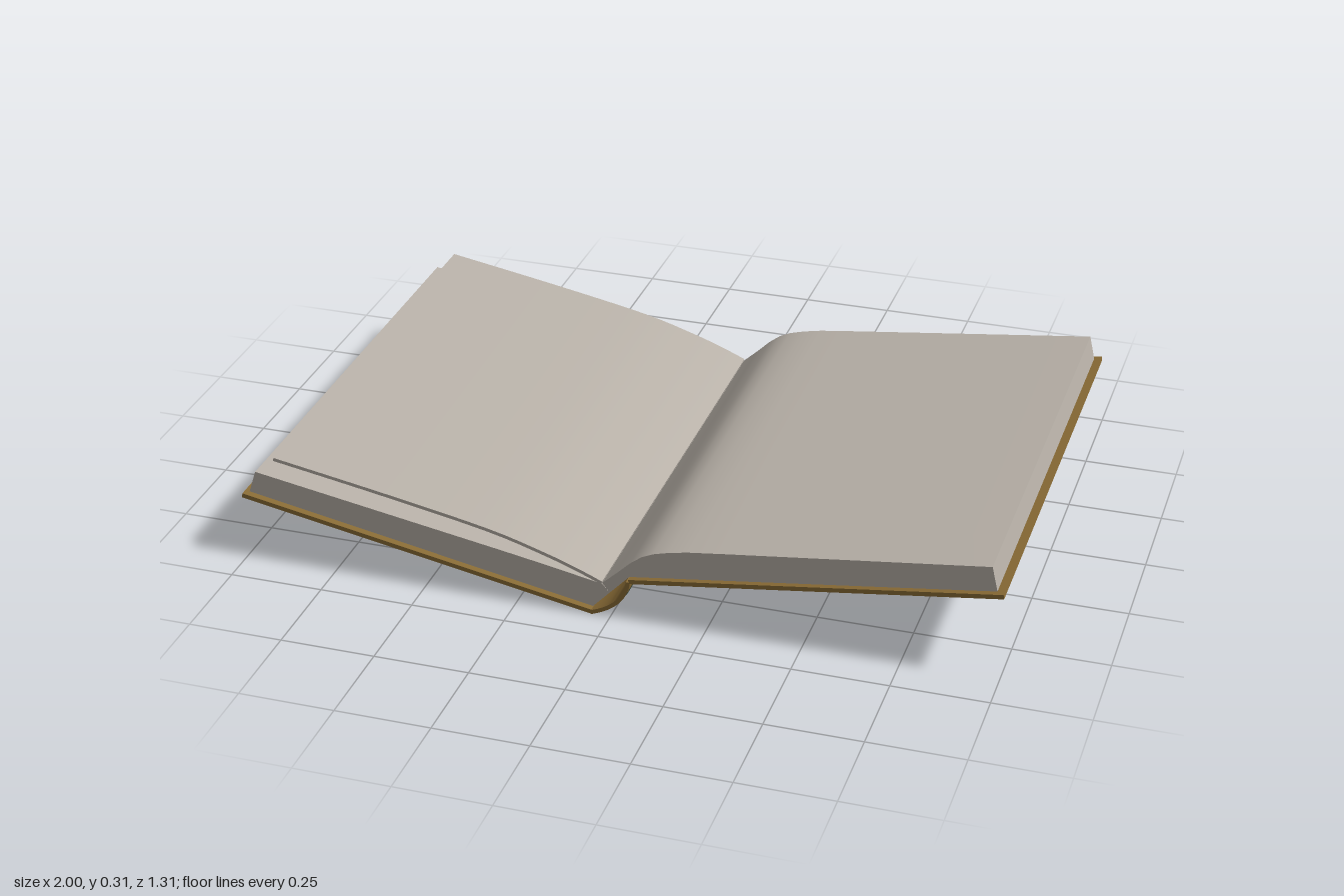
import * as THREE from 'three';
import { toCreasedNormals } from 'three/addons/utils/BufferGeometryUtils.js';

const mat = (name, color, side = THREE.FrontSide) => {
  const m = new THREE.MeshStandardMaterial({ color, side });
  m.name = name;
  return m;
};

export function createModel() {
  const book = new THREE.Group();
  book.name = 'openBook';

  const paper = mat('paper', 0xb8b1a8);
  const rimGold = mat('rimGold', 0x8a6c36);
  const dullGold = mat('dullGold', 0x664e28, THREE.DoubleSide);
  const green = mat('darkGreen', 0x35433a);
  const umber = mat('umber', 0x3a2c27);
  const rust = mat('rust', 0x6a442e);
  const leather = mat('spineLeather', 0x513c36, THREE.DoubleSide);
  const teal = mat('teal', 0x43614f, THREE.DoubleSide);
  const ochre = mat('ochre', 0x86693c, THREE.DoubleSide);
  const copper = mat('copper', 0x8a5636, THREE.DoubleSide);

  const add = (parent, name, geometry, material) => {
    const mesh = new THREE.Mesh(geometry, material);
    mesh.name = name;
    parent.add(mesh);
    return mesh;
  };
  const vecs = pts => pts.map(([x, y]) => new THREE.Vector2(x, y));

  // Extrude an outline in x and y along z, centred on z = 0
  const slab = (pts, depth) => {
    const g = new THREE.ExtrudeGeometry(new THREE.Shape(vecs(pts)), { depth, bevelEnabled: false });
    g.translate(0, 0, -depth / 2);
    return toCreasedNormals(g, 0.55);
  };

  // ---- Page blocks ----
  add(book, 'leftPages', slab([
    [-0.985, 0.193], [-0.05, 0.017], [-0.005, 0.065], [-0.025, 0.088], [-0.06, 0.094],
    [-0.12, 0.106], [-0.2, 0.121], [-0.3, 0.139], [-0.965, 0.254],
  ], 1.28), paper);
  add(book, 'rightPages', slab([
    [0.047, 0.12], [0.981, 0.249], [0.966, 0.315], [0.3, 0.232], [0.2, 0.219], [0.15, 0.209],
    [0.11, 0.198], [0.08, 0.184], [0.05, 0.161], [0.01, 0.122], [-0.025, 0.09], [-0.005, 0.065],
  ], 1.28), paper);

  // ---- Lifted leaf ----
  const leaf = [[-0.91, 0.304], [-0.6, 0.249], [-0.33, 0.196], [-0.18, 0.153], [-0.09, 0.121], [-0.025, 0.094]];
  const leafLine = new THREE.SplineCurve(vecs(leaf)).getPoints(20).map(p => [p.x, p.y]);
  const leafUnder = leafLine.map(([x, y]) => [x - 0.002, y - 0.009]).reverse();
  add(book, 'liftedLeaf', slab([...leafLine, ...leafUnder], 1.28), paper);

  // ---- Covers ----
  const polygon = pts => new THREE.Shape(vecs(pts));
  const oval = (x, y, rx, ry, turn = 0) => {
    const s = new THREE.Shape();
    s.absellipse(x, y, rx, ry, 0, Math.PI * 2, false, turn);
    return s;
  };
  const CORNER_GOLD = [[0.01, 0.01], [0.38, 0.01], [0.35, 0.05], [0.25, 0.06], [0.23, 0.12], [0.16, 0.15],
    [0.14, 0.23], [0.07, 0.26], [0.06, 0.4], [0.01, 0.44]];
  const CORNER_DARK = [[0.025, 0.025], [0.2, 0.03], [0.19, 0.08], [0.13, 0.11], [0.1, 0.18], [0.03, 0.23]];
  const signs = [[1, 1], [1, -1], [-1, -1], [-1, 1]];

  const makeCover = (name, x, y, angle, length) => {
    const cover = new THREE.Group();
    cover.name = name;
    cover.position.set(x, y, 0);
    cover.rotation.z = angle;
    book.add(cover);
    const T = 0.012, hx = length / 2, hz = 0.655;
    add(cover, 'board', new THREE.BoxGeometry(length, T, hz * 2), rimGold);

    // Flat ornaments on the outer face, stacked by level
    const paint = (part, shapes, level, material) => {
      const g = new THREE.ShapeGeometry(shapes, 10);
      g.rotateX(Math.PI / 2);
      add(cover, part, g, material).position.y = -T / 2 - 0.0014 * level;
    };
    const rect = (a, b) => polygon([[-a, -b], [a, -b], [a, b], [-a, b]]);
    paint('goldBorder', [rect(hx - 0.006, hz - 0.006)], 0.5, dullGold);
    paint('greenField', [rect(hx - 0.022, hz - 0.022)], 1, green);

    // Corner ornaments
    const corners = pts => signs.map(([sx, sz]) => polygon(pts.map(([p, q]) => [sx * (hx - p), sz * (hz - q)])));
    paint('cornerScrolls', corners(CORNER_GOLD), 2, dullGold);
    paint('cornerFills', corners(CORNER_DARK), 3, umber);
    paint('cornerSpotsLong', signs.map(([sx, sz]) => oval(sx * (hx - 0.05), sz * (hz - 0.3), 0.016, 0.05)), 3, umber);
    paint('cornerSpotsWide', signs.map(([sx, sz]) => oval(sx * (hx - 0.27), sz * (hz - 0.045), 0.05, 0.013)), 3, umber);

    // Central medallion with pointed sides and four diagonal pendants
    const star = [];
    signs.forEach(([sx, sz], i) => {
      const quarter = [[0.29, 0.03], [0.23, 0.07], [0.2, 0.14], [0.15, 0.17], [0.12, 0.22], [0.06, 0.26], [0.025, 0.34]];
      const run = quarter.map(([a, b]) => [sx * a, sz * b]);
      star.push(...(i % 2 ? run : run.reverse()));
    });
    paint('medallion', [polygon(star)], 2, umber);
    const turn = (sx, sz) => Math.atan2(sz * 0.3, sx * 0.27);
    paint('pendants', signs.map(([sx, sz]) => oval(sx * 0.205, sz * 0.23, 0.085, 0.042, turn(sx, sz))), 2.4, umber);
    paint('pendantTips', signs.map(([sx, sz]) => oval(sx * 0.262, sz * 0.292, 0.035, 0.016, turn(sx, sz))), 2.4, umber);
    paint('pendantHearts', signs.map(([sx, sz]) => oval(sx * 0.21, sz * 0.235, 0.036, 0.017, turn(sx, sz))), 3, dullGold);
    paint('diagonalPetals', signs.map(([sx, sz]) => oval(sx * 0.1, sz * 0.115, 0.022, 0.05, turn(sx, sz))), 3, rust);
    paint('axisPetals', [
      oval(0, 0.19, 0.025, 0.048), oval(0, -0.19, 0.025, 0.048),
      oval(0.17, 0, 0.045, 0.026), oval(-0.17, 0, 0.045, 0.026),
    ], 3, rust);
    paint('medallionHeart', [polygon([[0.055, 0], [0, 0.065], [-0.055, 0], [0, -0.065]])], 3, dullGold);
  };
  makeCover('leftCover', 0.525, 0.18, 0.136, 0.959);
  makeCover('rightCover', -0.525, 0.098, -0.185, 0.966);

  // ---- Curved spine ----
  const arc = new THREE.QuadraticBezierCurve(
    new THREE.Vector2(-0.05, 0.002), new THREE.Vector2(0.043, 0.034), new THREE.Vector2(0.054, 0.112));
  const onArc = (t, out) => {
    const p = arc.getPoint(t), d = arc.getTangent(t);
    return [p.x + d.y * out, p.y - d.x * out];
  };
  const steps = Array.from({ length: 17 }, (_, i) => i / 16);
  add(book, 'spine', slab([
    ...steps.map(t => onArc(t, 0)),
    ...steps.map(t => onArc(1 - t, -0.011)),
  ], 1.31), rimGold);

  // Thin patch wrapped on the spine: half width varies with v from -1 to 1
  const wrap = (name, z, t0, t1, halfWidth, out, material) => {
    const g = new THREE.PlaneGeometry(2, 2, 2, 14);
    const pos = g.attributes.position;
    for (let i = 0; i < pos.count; i++) {
      const u = pos.getX(i), v = pos.getY(i);
      const [x, y] = onArc(t0 + (t1 - t0) * (v + 1) / 2, out);
      pos.setXYZ(i, x, y, z - u * halfWidth(v));
    }
    g.computeVertexNormals();
    add(book, name, g, material);
  };
  wrap('spinePanel', 0, 0.12, 0.95, () => 0.505, 0.0015, leather);
  wrap('spineMedallion', 0, 0.4, 0.72, v => 0.072 * Math.sqrt(Math.max(0, 1 - v * v)), 0.003, copper);
  for (const s of [-1, 1]) {
    const end = s > 0 ? 'Front' : 'Back';
    wrap('spineDiamond' + end, s * 0.392, 0.36, 0.78, v => 0.012 + 0.026 * (1 - Math.abs(v)), 0.003, ochre);
    wrap('spineLabel' + end, s * 0.597, 0.14, 0.93, v => 0.034 - 0.008 * v * v, 0.0015, teal);
  }

  return book;
}
